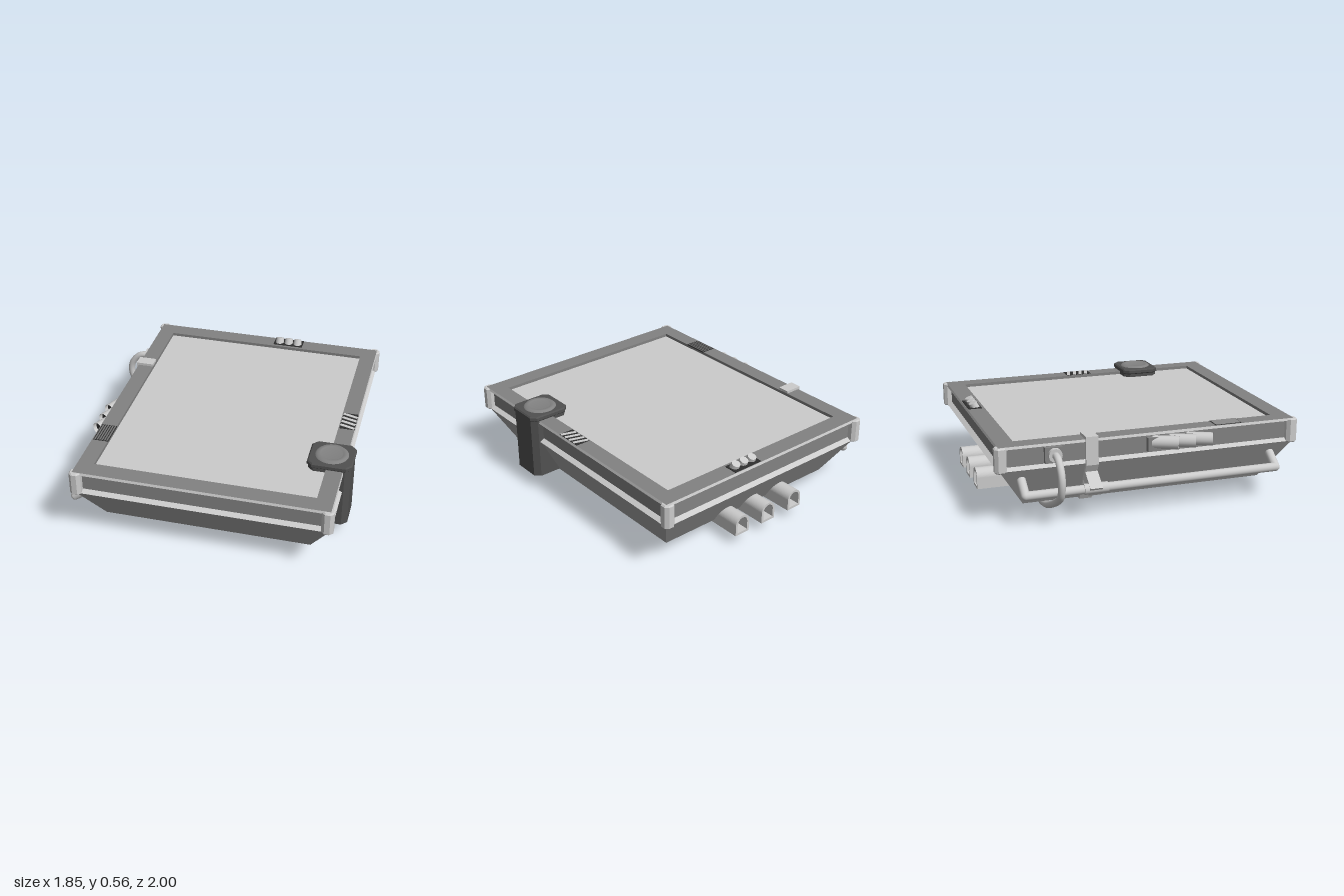
import * as THREE from 'three';

const CX = 0.06; // hull centre line
const mat = (color, double) => new THREE.MeshStandardMaterial({ color, side: double ? THREE.DoubleSide : THREE.FrontSide });
const light = mat(0xcccccc), lightOpen = mat(0xcccccc, true);
const hullGrey = mat(0xa0a0a0), frameGrey = mat(0x828282), dark = mat(0x505050), black = mat(0x303030);

function add(parent, name, geo, material, x = 0, y = 0, z = 0) {
  const m = new THREE.Mesh(geo, material);
  m.name = name;
  m.position.set(x, y, z);
  parent.add(m);
  return m;
}

// Skin through rectangles given as [halfX, halfZ, y]
function loft(rings) {
  const pos = [];
  const corner = ([hx, hz, y], i) => [[hx, y, hz], [hx, y, -hz], [-hx, y, -hz], [-hx, y, hz]][i % 4];
  for (let r = 0; r < rings.length - 1; r++) {
    for (let i = 0; i < 4; i++) {
      const a = corner(rings[r], i), b = corner(rings[r], i + 1);
      const c = corner(rings[r + 1], i + 1), d = corner(rings[r + 1], i);
      pos.push(...a, ...b, ...c, ...a, ...c, ...d);
    }
  }
  const g = new THREE.BufferGeometry();
  g.setAttribute('position', new THREE.Float32BufferAttribute(pos, 3));
  g.computeVertexNormals();
  return g;
}

// Cylinder between two points
function rod(parent, name, a, b, r, material, open = false) {
  const p = new THREE.Vector3(...a), q = new THREE.Vector3(...b);
  const d = q.clone().sub(p);
  const m = add(parent, name, new THREE.CylinderGeometry(r, r, d.length(), 20, 1, open), material);
  m.position.copy(p).add(q).multiplyScalar(0.5);
  m.quaternion.setFromUnitVectors(new THREE.Vector3(0, 1, 0), d.normalize());
  return m;
}

const shapeOf = pts => new THREE.Shape(pts.map(p => new THREE.Vector2(...p)));

// Rectangle with cut corners
const octagon = (hx, hy, c) => shapeOf([
  [hx - c, -hy], [hx, -hy + c], [hx, hy - c], [hx - c, hy],
  [-hx + c, hy], [-hx, hy - c], [-hx, -hy + c], [-hx + c, -hy]]);

// Extrude a plan shape upward
function upright(shape, height, bevel = 0) {
  const g = new THREE.ExtrudeGeometry(shape, {
    depth: height - 2 * bevel, bevelEnabled: bevel > 0, bevelSize: bevel, bevelThickness: bevel,
    bevelOffset: -bevel, bevelSegments: 1,
  });
  return g.rotateX(-Math.PI / 2).translate(0, bevel, 0);
}

export function createModel() {
  const model = new THREE.Group();
  model.name = 'deviceTray';

  // Tapered hull, grooved rim and recessed top panel
  add(model, 'hull', loft([[0, 0, 0.09], [0.67, 0.8, 0.09], [0.805, 0.965, 0.35]]), hullGrey, CX);
  add(model, 'lowerLip', loft([[0.805, 0.965, 0.35], [0.815, 0.98, 0.357], [0.785, 0.95, 0.375]]), light, CX);
  add(model, 'rimGroove', loft([[0.785, 0.95, 0.375], [0.785, 0.95, 0.488]]), frameGrey, CX);
  add(model, 'upperLip', loft([[0.785, 0.95, 0.488], [0.815, 0.98, 0.494], [0.81, 0.975, 0.51]]), light, CX);
  add(model, 'topFrame', loft([[0.81, 0.975, 0.51], [0.704, 0.86, 0.51], [0.704, 0.86, 0.49]]), frameGrey, CX);
  add(model, 'topPanel', loft([[0.704, 0.86, 0.49], [0, 0, 0.49]]), light, CX);

  // Corner guards
  for (const sx of [-1, 1]) for (const sz of [-1, 1]) {
    add(model, 'cornerGuard', upright(octagon(0.037, 0.037, 0.02), 0.16, 0.008), light, CX + sx * 0.793, 0.349, sz * 0.963);
  }

  // Side tower with round lens
  const tower = new THREE.Group();
  tower.name = 'tower';
  tower.position.set(0.782, 0, 0.445);
  model.add(tower);
  add(tower, 'towerBody', upright(octagon(0.136, 0.124, 0.035), 0.42), dark, 0, 0.1);
  add(tower, 'towerCap', upright(octagon(0.143, 0.13, 0.035), 0.035, 0.008), dark, 0, 0.511);
  const lens = [[0.108, 0.544], [0.095, 0.557], [0.072, 0.557], [0.066, 0.549], [0, 0.549]];
  add(tower, 'lensRing', new THREE.LatheGeometry(lens.map(p => new THREE.Vector2(...p)), 32), frameGrey);

  // Three arched tunnels under the back
  const arch = (w, y0, top) => {
    const s = new THREE.Shape();
    s.moveTo(-w, y0);
    s.lineTo(w, y0);
    s.lineTo(w, top - w);
    s.absarc(0, top - w, w, 0, Math.PI, false);
    s.lineTo(-w, y0);
    return s;
  };
  for (const x of [-0.165, 0.065, 0.285]) {
    const s = arch(0.055, 0.07, 0.2);
    s.holes.push(arch(0.04, 0.085, 0.185));
    add(model, 'backTunnel', new THREE.ExtrudeGeometry(s, { depth: 0.35, bevelEnabled: false, curveSegments: 16 }), light, x, 0, -1);
  }

  // Tilted lamps on the back edge
  add(model, 'lampTray', new THREE.BoxGeometry(0.21, 0.01, 0.09), black, 0.225, 0.51, -0.925);
  for (let i = -1; i <= 1; i++) {
    const lamp = add(model, 'lamp', new THREE.CylinderGeometry(0.027, 0.032, 0.05, 24), light, 0.225 + i * 0.066, 0.52, -0.923);
    lamp.rotation.x = -0.4;
  }

  // Grilles on the left and right of the frame
  add(model, 'rightGrillePocket', new THREE.BoxGeometry(0.1, 0.006, 0.18), black, -0.693, 0.509, 0.52);
  for (let i = 0; i < 6; i++) {
    const slat = add(model, 'rightGrilleSlat', new THREE.BoxGeometry(0.012, 0.003, 0.17), frameGrey, -0.733 + i * 0.016, 0.512, 0.52);
    slat.rotation.z = 0.4;
  }
  add(model, 'leftGrillePocket', new THREE.BoxGeometry(0.1, 0.006, 0.185), black, 0.82, 0.509, 0);
  for (let i = 0; i < 4; i++) {
    const slat = add(model, 'leftGrilleSlat', new THREE.BoxGeometry(0.1, 0.004, 0.022), light, 0.82, 0.512, -0.066 + i * 0.044);
    slat.rotation.y = -0.3;
  }

  // Side pipe with angled ends
  const px = -0.805, py = 0.21;
  rod(model, 'sidePipe', [px, py, -0.83], [px, py, 0.83], 0.028, light);
  for (const z of [-0.83, 0.83]) {
    rod(model, 'pipeEnd', [px, py, z], [-0.68, 0.3, z], 0.028, light);
    add(model, 'pipeElbow', new THREE.SphereGeometry(0.028, 20, 12), light, px, py, z);
  }

  // Strap wrapping the side, with the pipe clamp
  const strap = shapeOf([[-0.645, 0.505], [-0.645, 0.527], [-0.765, 0.527], [-0.765, 0.345], [-0.618, 0.078],
    [-0.52, 0.078], [-0.52, 0.092], [-0.608, 0.092], [-0.745, 0.35], [-0.745, 0.505]]);
  add(model, 'strap', new THREE.ExtrudeGeometry(strap, { depth: 0.08, bevelEnabled: false }), light, 0, 0, -0.435);
  rod(model, 'pipeCollar', [px, py, -0.465], [px, py, -0.31], 0.034, light);
  const clamp = add(model, 'pipeClamp', new THREE.BoxGeometry(0.13, 0.07, 0.08), light, -0.775, 0.232, -0.395);
  clamp.rotation.z = 0.62;

  // Three angled exhausts on the side
  add(model, 'exhaustBlock', new THREE.BoxGeometry(0.06, 0.09, 0.38), frameGrey, -0.73, 0.432, 0.16);
  for (let i = 0; i < 3; i++) {
    const z = 0.16 + i * 0.115;
    rod(model, 'exhaust', [-0.725, 0.44, z - 0.15], [-0.795, 0.44, z], 0.042, lightOpen, true);
    rod(model, 'exhaustCore', [-0.725, 0.44, z - 0.15], [-0.785, 0.44, z - 0.02], 0.036, black);
  }

  // Hose looping from its socket to below the hull
  const hose = new THREE.CatmullRomCurve3([
    [-0.74, 0.437], [-0.83, 0.425], [-0.89, 0.36], [-0.903, 0.285], [-0.875, 0.205], [-0.8, 0.15],
    [-0.63, 0.07], [-0.54, 0.04], [-0.44, 0.026], [-0.3, 0.025], [-0.13, 0.025]].map(([x, y]) => new THREE.Vector3(x, y, -0.63)));
  add(model, 'hose', new THREE.TubeGeometry(hose, 80, 0.023, 16), lightOpen);
  rod(model, 'hoseEnd', [-0.16, 0.025, -0.63], [-0.13, 0.025, -0.63], 0.0228, light);
  rod(model, 'hoseSocket', [-0.72, 0.437, -0.63], [-0.78, 0.435, -0.63], 0.043, light);
  add(model, 'socketPlate', new THREE.BoxGeometry(0.03, 0.1, 0.11), frameGrey, -0.74, 0.432, -0.635);

  return model;
}
